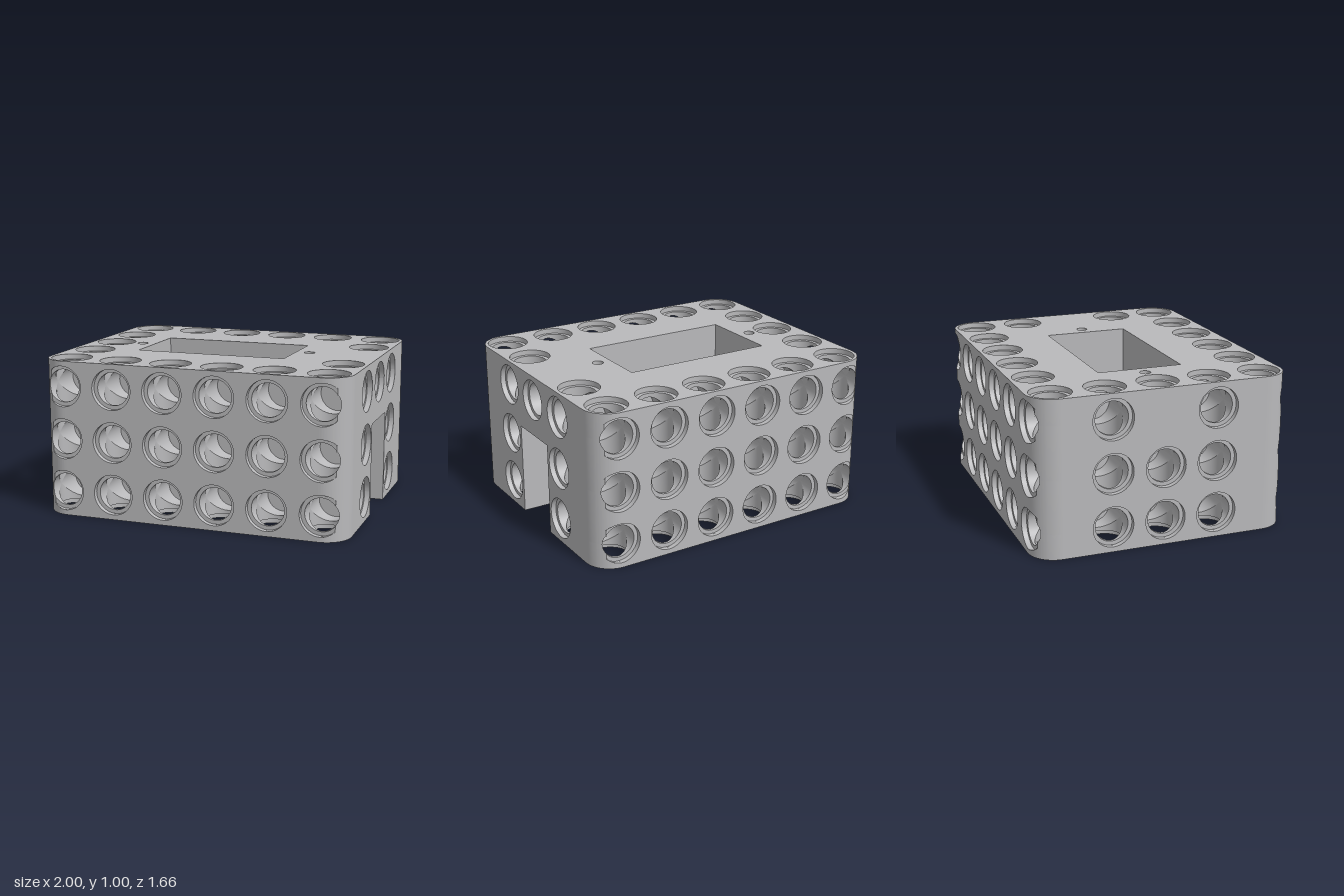
import * as THREE from 'three';
import { mergeGeometries } from 'three/addons/utils/BufferGeometryUtils.js';

const P = 0.338, r = 0.105, R = 0.13, CB = 0.033, DEPTH = 0.36; // pitch, bore, counterbore, blind depth
const HZ = 0.83, CR = 0.17;                                     // half depth, corner radius
const X = [-2.5, -1.5, -0.5, 0.5, 1.5, 2.5].map(k => k * P);
const Y = [-1, 0, 1].map(k => 0.5 + k * P);
const PK = { x0: -0.56, x1: 0.44, z: 0.275, y: 0.21 };          // pocket
const SL = { x: 0.39, z: 0.185, y: 0.6 };                       // slot
const { cos, sin, abs, sqrt, min, max, PI } = Math;
const range = (a, b, n) => Array.from({ length: n + 1 }, (_, i) => a + (b - a) * i / n);
const TURN = range(0, 2 * PI, 48);
const chord = (rad, u) => sqrt(max(0, rad * rad - u * u));
const val = (f, t) => typeof f === 'function' ? f(t) : f;
const inPocket = (x, z) => x > PK.x0 && x < PK.x1 && abs(z) < PK.z;

// Ruled surface over t, running from lo to hi, broken by gaps around given centres
function strip(ts, point, lo, hi, centres = [], half = () => 0) {
  const pos = [], idx = [];
  for (let s = 0; s <= centres.length; s++) {
    const base = pos.length / 3;
    ts.forEach((t, i) => {
      const a = val(lo, t), b = val(hi, t);
      const clamp = v => min(b, max(a, v));
      const v0 = s === 0 ? a : clamp(centres[s - 1] + half(t));
      const v1 = s === centres.length ? b : clamp(centres[s] - half(t));
      pos.push(...point(t, v0), ...point(t, max(v0, v1)));
      const k = base + 2 * i;
      if (i) idx.push(k - 2, k, k - 1, k, k + 1, k - 1);
    });
  }
  const g = new THREE.BufferGeometry();
  g.setAttribute('position', new THREE.Float32BufferAttribute(pos, 3));
  g.setIndex(idx);
  g.computeVertexNormals();
  return g;
}

// Flat face in local xy with round holes [x, y, radius] and polygon cutouts
function face(outline, holes = [], cutouts = []) {
  const s = outline instanceof THREE.Shape ? outline : new THREE.Shape(outline.map(p => new THREE.Vector2(...p)));
  for (const [x, y, q] of holes) s.holes.push(new THREE.Path().absarc(x, y, q, 0, 2 * PI, true));
  for (const c of cutouts) s.holes.push(new THREE.Path(c.map(p => new THREE.Vector2(...p))));
  const g = new THREE.ShapeGeometry(s, 24);
  g.deleteAttribute('uv');
  return g;
}
const rect = (x0, y0, x1, y1) => [[x0, y0], [x1, y0], [x1, y1], [x0, y1]];

// Outer surface of the long wall, rounding off at both ends
const surf = x => abs(x) <= 1 - CR ? HZ : HZ - CR + chord(CR, abs(x) - (1 - CR));
const XSTAR = 1 - CR + chord(CR, CR - CB); // where the rounding drops below the counterbore floor

// Counterbore wall and ledge, opening along local +z at distance D
function mouth(cx, cy, D, top = () => D, limit = 9) {
  const F = D - CB, cl = x => max(-limit, min(limit, x));
  return [
    strip(TURN, (a, v) => [cx + R * cos(a), cy + R * sin(a), v], F, a => max(F, top(cx + R * cos(a)))),
    strip(TURN, (a, q) => [cl(cx + q * cos(a)), cy + q * sin(a), F], r, R)
  ];
}
// Complete blind hole, crossed by a vertical bore at distance cross (if any)
function socket(cx, cy, D, cross, top = () => D, limit) {
  const end = new THREE.CircleGeometry(r, 48).translate(cx, cy, D - DEPTH);
  end.deleteAttribute('uv');
  return [...mouth(cx, cy, D, top, limit), end,
    strip(TURN, (a, v) => [cx + r * cos(a), cy + r * sin(a), v], D - DEPTH,
      a => min(D - CB, top(cx + r * cos(a))), cross === null ? [] : [cross], a => r * abs(sin(a)))];
}

function roundedOutline(notch) {
  const s = new THREE.Shape(), c = 1 - CR, d = HZ - CR;
  s.moveTo(-c, -HZ).lineTo(c, -HZ);
  s.absarc(c, -d, CR, -PI / 2, 0, false);
  if (notch) s.lineTo(1, -SL.z).lineTo(SL.x, -SL.z).lineTo(SL.x, SL.z).lineTo(1, SL.z);
  s.absarc(c, d, CR, 0, PI / 2, false);
  s.absarc(-c, d, CR, PI / 2, PI, false);
  s.absarc(-c, -d, CR, PI, 1.5 * PI, false);
  return s;
}

export function createModel() {
  const group = new THREE.Group();
  const grey = new THREE.MeshStandardMaterial({ color: 0xb9b9bb, side: THREE.DoubleSide });
  grey.name = 'grey plastic';
  const add = (name, geos) => {
    const m = new THREE.Mesh(mergeGeometries(geos), grey);
    m.name = name;
    group.add(m);
    return m;
  };

  // Long walls with rounded ends and three rows of sockets
  const xs = X.flatMap(c => range(0, PI, 24).map(a => c + R * cos(a)));
  for (const s of [-1, 1]) {
    xs.push(...range(0, PI / 2, 16).map(a => s * (1 - CR + CR * sin(a))));
    xs.push(...range(0, PI / 2, 12).map(a => s * (X[5] + r * cos(a))), s * (XSTAR - 1e-4), s * (XSTAR + 1e-4));
  }
  xs.sort((a, b) => a - b);
  const opening = x => max(...X.map(c => chord(abs(x) < XSTAR ? R : r, x - c)));
  const longWall = () => [
    strip(xs, (x, y) => [x, y, surf(x)], 0, 1, Y, opening),
    ...X.flatMap(x => Y.flatMap(y => socket(x, y, HZ, 2 * P, surf, XSTAR)))
  ];
  add('frontWall', longWall());
  add('backWall', longWall()).rotation.y = PI;

  // End walls: one with the slot, one plain
  const d = HZ - CR;
  const endWall = (outline, spots) => [
    face(outline, spots.map(([z, y]) => [z, y, R])).translate(0, 0, 1),
    ...spots.flatMap(([z, y, solid]) => socket(z, y, 1, solid ? null : 2.5 * P))
  ];
  const sides = Y.flatMap(y => [[-P, y], [P, y]]);
  add('slottedEnd', endWall([[-d, 0], [-SL.z, 0], [-SL.z, SL.y], [SL.z, SL.y], [SL.z, 0], [d, 0], [d, 1], [-d, 1]],
    [...sides, [0, Y[2], true]])).rotation.y = PI / 2;
  add('plainEnd', endWall(rect(-d, 0, d, 1), [...sides, [0, Y[0]], [0, Y[1]]])).rotation.y = -PI / 2;

  // Vertical bores: through columns round the rim, blind ones under the pocket
  const columns = [...X.flatMap(x => [[x, 2 * P], [x, -2 * P]]),
    ...[X[0], X[5]].flatMap(x => [[x, P], [x, -P]]), [X[0], 0]];
  const blind = [...X.slice(1, 5).flatMap(x => [[x, P], [x, -P]]), ...X.slice(1, 4).map(x => [x, 0])];
  add('throughBores', columns.map(([x, z]) => strip(TURN, (a, y) => [x + r * cos(a), y, z + r * sin(a)], CB, 1 - CB,
    z === 0 ? Y.slice(0, 2) : Y, a => r * abs(abs(z) > 1.5 * P ? sin(a) : cos(a)))));

  const fine = range(0, 2 * PI, 360);
  add('blindBores', blind.flatMap(([x, z]) => {
    const at = (a, q) => [x + q * cos(a), z + q * sin(a)];
    const out = [strip(fine, (a, y) => [x + r * cos(a), y, z + r * sin(a)], CB,
      a => inPocket(...at(a, r)) ? PK.y : DEPTH)];
    // Bore ceiling, left out where the pocket is above
    const ring = range(0, 2 * PI, 180).slice(0, -1);
    const pts = inPocket(x, z) ? ring.map(a => at(a, r)).filter(p => !inPocket(...p)) : ring.map(a => {
      let q = 0;
      while (q < r && !inPocket(...at(a, q))) q += r / 64;
      return at(a, min(q, r));
    });
    if (pts.length > 2) out.push(face(pts).rotateX(PI / 2).translate(0, DEPTH, 0));
    return out;
  }));

  // Top and bottom plates
  const screws = [[-0.65, 0], [0.53, 0]], sr = 0.035, sd = 0.3;
  add('topPlate', [
    face(roundedOutline(false), [...columns.map(c => [...c, R]), ...screws.map(c => [...c, sr])],
      [rect(PK.x0, -PK.z, PK.x1, PK.z)]).translate(0, 0, 1),
    ...columns.flatMap(([x, z]) => mouth(x, z, 1))
  ]).rotation.x = -PI / 2;
  const under = [...columns, ...blind];
  add('bottomPlate', [
    face(roundedOutline(true), under.map(c => [...c, R])),
    ...under.flatMap(([x, z]) => mouth(x, z, 0))
  ]).rotation.x = PI / 2;

  // Screw holes
  add('screwHoles', screws.flatMap(([x, z]) => {
    const end = new THREE.CircleGeometry(sr, 32).rotateX(-PI / 2).translate(x, 1 - sd, z);
    end.deleteAttribute('uv');
    return [end, strip(TURN, (a, y) => [x + sr * cos(a), y, z + sr * sin(a)], 1 - sd, 1)];
  }));

  // Pocket walls, notched where bores or the slot break through, and its floor
  const wallFoot = (x, z) => x === PK.x1 && abs(z) < SL.z ? SL.y
    : blind.some(b => Math.hypot(x - b[0], z - b[1]) < r) ? DEPTH : PK.y;
  const alongX = range(PK.x0, PK.x1, 400), alongZ = range(-PK.z, PK.z, 300);
  add('pocketWalls', [
    ...[-PK.z, PK.z].map(z => strip(alongX, (x, y) => [x, y, z], x => wallFoot(x, z), 1)),
    ...[PK.x0, PK.x1].map(x => strip(alongZ, (z, y) => [x, y, z], z => wallFoot(x, z), 1))
  ]);
  const bite = x => max(...X.slice(1, 5).map(c => chord(r, x - c)));
  add('pocketFloor', [
    strip(range(PK.x0, SL.x, 300), (x, z) => [x, PK.y, z], -PK.z, PK.z, [-P, 0, P], bite),
    ...[-1, 1].map(s => strip(range(SL.x, PK.x1, 30), (x, w) => [x, PK.y, s * w], SL.z, PK.z, [P], bite))
  ]);

  // Slot: side walls, inner end and ceiling
  const slotSide = [[SL.x, 0], [1, 0], [1, SL.y], [PK.x1, SL.y], [PK.x1, PK.y], [SL.x, PK.y]];
  add('slot', [
    face(slotSide).translate(0, 0, -SL.z),
    face(slotSide).translate(0, 0, SL.z),
    face(rect(-SL.z, 0, SL.z, PK.y)).rotateY(PI / 2).translate(SL.x, 0, 0),
    face(rect(PK.x1, -SL.z, 1, SL.z)).rotateX(PI / 2).translate(0, SL.y, 0)
  ]);
  return group;
}
